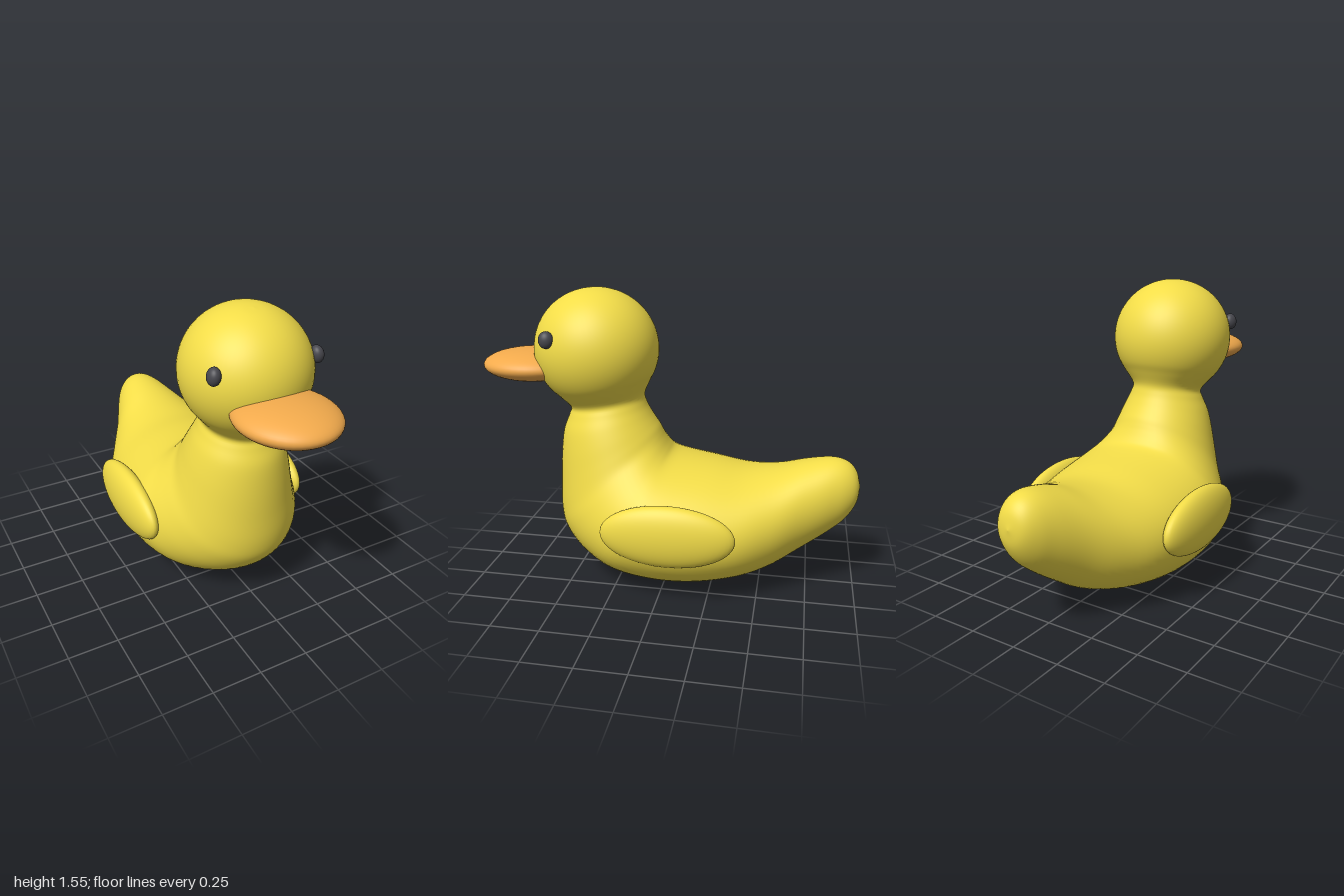
import * as THREE from 'three';

const YELLOW = 0xf2dc48, ORANGE = 0xf2aa4c, DARK = 0x46464c;

// Body sections from tail to neck: [backZ, backY, bellyZ, bellyY, halfWidth]
const SECTIONS = [
  [-1.0, 0.56, -1.0, 0.56, 0],
  [-0.978, 0.64, -0.985, 0.47, 0.07],
  [-0.93, 0.69, -0.93, 0.38, 0.12],
  [-0.85, 0.707, -0.84, 0.30, 0.165],
  [-0.72, 0.685, -0.70, 0.20, 0.23],
  [-0.58, 0.645, -0.55, 0.105, 0.315],
  [-0.42, 0.63, -0.38, 0.045, 0.40],
  [-0.25, 0.655, -0.15, 0.004, 0.45],
  [-0.10, 0.68, 0.08, 0.006, 0.47],
  [-0.03, 0.70, 0.30, 0.05, 0.46],
  [0.0, 0.73, 0.46, 0.14, 0.41],
  [0.025, 0.77, 0.56, 0.25, 0.355],
  [0.04, 0.80, 0.592, 0.36, 0.315],
  [0.055, 0.83, 0.592, 0.52, 0.285],
  [0.075, 0.86, 0.585, 0.68, 0.258],
  [0.10, 0.90, 0.57, 0.80, 0.23],
  [0.125, 0.95, 0.54, 0.88, 0.20],
  [0.135, 1.0, 0.53, 0.925, 0.187],
];

// Head sections: slices of a ball, stacked along the slightly tilted neck axis
function headSections() {
  const rows = [], cz = 0.385, cy = 1.232, axis = THREE.MathUtils.degToRad(259), n = 12;
  for (let i = 0; i <= n; i++) {
    const a = THREE.MathUtils.degToRad(48 + (132 * i) / n);
    rows.push([
      cz + 0.325 * Math.cos(axis - a), cy + 0.315 * Math.sin(axis - a),
      cz + 0.325 * Math.cos(axis + a), cy + 0.315 * Math.sin(axis + a),
      0.318 * Math.sin(a),
    ]);
  }
  return rows;
}

// One smooth loft of elliptical rings that fan round from the tail up into the head
function bodyGeometry() {
  const rows = [...SECTIONS, ...headSections()];
  const back = new THREE.CatmullRomCurve3(
    rows.map(r => new THREE.Vector3(r[4], r[1], r[0])), false, 'catmullrom');
  const belly = new THREE.CatmullRomCurve3(
    rows.map(r => new THREE.Vector3(0, r[3], r[2])), false, 'catmullrom');
  const rings = (rows.length - 1) * 5, sides = 64;
  const pos = [], idx = [];
  for (let i = 0; i <= rings; i++) {
    const b = back.getPoint(i / rings), f = belly.getPoint(i / rings);
    const w = Math.max(b.x, 0);
    for (let j = 0; j < sides; j++) {
      const a = (j / sides) * Math.PI * 2, c = Math.cos(a);
      pos.push(
        w * Math.sin(a),
        (b.y + f.y) / 2 + ((b.y - f.y) / 2) * c,
        (b.z + f.z) / 2 + ((b.z - f.z) / 2) * c);
      if (i < rings) {
        const k = (j + 1) % sides, p = i * sides, q = p + sides;
        idx.push(p + j, q + j, p + k, p + k, q + j, q + k);
      }
    }
  }
  const geo = new THREE.BufferGeometry();
  geo.setAttribute('position', new THREE.Float32BufferAttribute(pos, 3));
  geo.setIndex(idx);
  geo.computeVertexNormals();
  return geo;
}

function addMesh(group, name, geo, color) {
  const mesh = new THREE.Mesh(geo, new THREE.MeshStandardMaterial({ color }));
  mesh.name = name;
  group.add(mesh);
  return mesh;
}

function addEllipsoid(group, name, radii, at, color) {
  const geo = new THREE.SphereGeometry(1, 48, 32).scale(...radii);
  const mesh = addMesh(group, name, geo, color);
  mesh.position.set(...at);
  return mesh;
}

export function createModel() {
  const duck = new THREE.Group();
  duck.name = 'duck';

  addMesh(duck, 'bodyNeckAndHead', bodyGeometry(), YELLOW);
  addEllipsoid(duck, 'beak', [0.24, 0.084, 0.27], [0, 1.14, 0.73], ORANGE);

  // Wings and eyes, mirrored
  for (const [side, s] of [['left', 1], ['right', -1]]) {
    addEllipsoid(duck, side + 'Wing', [0.077, 0.162, 0.338], [s * 0.431, 0.393, -0.063], YELLOW);
    const eye = addEllipsoid(duck, side + 'Eye', [0.031, 0.043, 0.038], [s * 0.266, 1.316, 0.566], DARK);
    eye.rotation.z = s * 0.15;
  }
  return duck;
}
